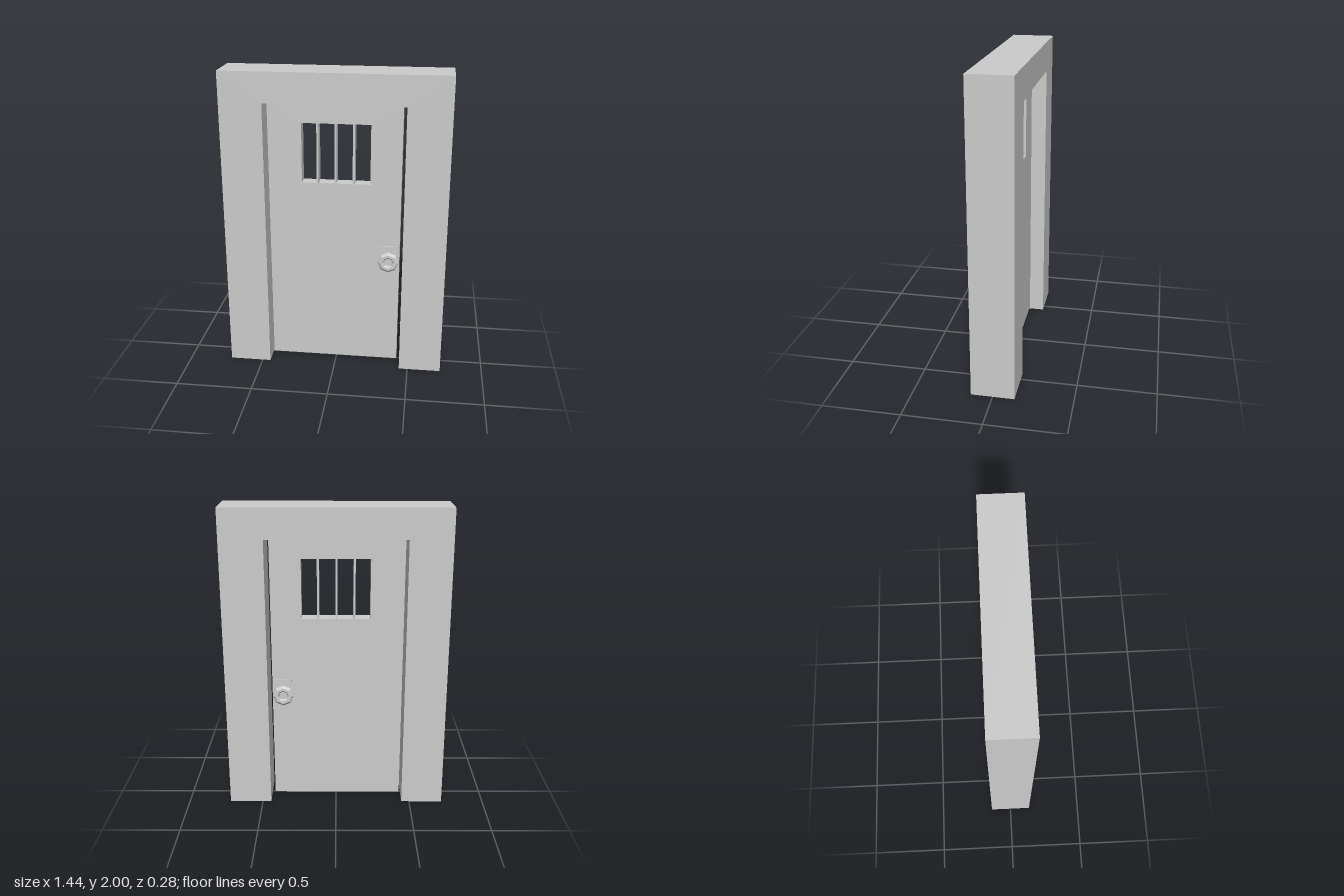
import * as THREE from 'three';

const material = new THREE.MeshStandardMaterial({ color: 0xcccccc, flatShading: true, side: THREE.DoubleSide });

function addMesh(parent, name, geometry, x = 0, y = 0, z = 0) {
  const mesh = new THREE.Mesh(geometry, material);
  mesh.name = name;
  mesh.position.set(x, y, z);
  parent.add(mesh);
  return mesh;
}

const polygon = (Type, points) => new Type(points.map(([x, y]) => new THREE.Vector2(x, y)));
const rectangle = (Type, x0, y0, x1, y1) => polygon(Type, [[x0, y0], [x1, y0], [x1, y1], [x0, y1]]);

// Extrude a shape along z, centred on z = 0
function slab(shape, depth) {
  return new THREE.ExtrudeGeometry(shape, { depth, bevelEnabled: false }).translate(0, 0, -depth / 2);
}

// Drop the triangles lying on the floor, leaving the hollow posts open below
function openBottom(geometry) {
  const p = geometry.attributes.position;
  const kept = [];
  for (let i = 0; i < p.count; i += 3) {
    if (Math.max(p.getY(i), p.getY(i + 1), p.getY(i + 2)) < 1e-4) continue;
    for (let j = i; j < i + 3; j++) kept.push(p.getX(j), p.getY(j), p.getZ(j));
  }
  const open = new THREE.BufferGeometry();
  open.setAttribute('position', new THREE.Float32BufferAttribute(kept, 3));
  open.computeVertexNormals();
  return open;
}

// Octagonal lock knob on a square plate, facing +z
function createLock(name) {
  const lock = new THREE.Group();
  lock.name = name;
  addMesh(lock, 'lockPlate', new THREE.BoxGeometry(0.113, 0.113, 0.014), 0, 0.05, 0.005);
  const profile = [[0.05, 0], [0.07, 0.012], [0.07, 0.026], [0.055, 0.038],
    [0.038, 0.038], [0.03, 0.03], [0.027, 0.02], [0, 0.02]];
  const knob = new THREE.LatheGeometry(profile.map(([r, y]) => new THREE.Vector2(r, y)), 8);
  addMesh(lock, 'lockKnob', knob.rotateX(Math.PI / 2));
  addMesh(lock, 'lockKeySlot', new THREE.BoxGeometry(0.04, 0.008, 0.008), 0, 0, 0.023);
  return lock;
}

export function createModel() {
  const model = new THREE.Group();
  model.name = 'barredDoor';

  // Thick surround with a doorway
  const frame = polygon(THREE.Shape, [[-0.72, 0], [-0.447, 0], [-0.447, 1.805], [0.443, 1.805],
    [0.443, 0], [0.72, 0], [0.72, 2], [-0.72, 2]]);
  addMesh(model, 'doorFrame', openBottom(slab(frame, 0.276)));

  // Door leaf; the flat bars are left standing between the window slots
  const door = new THREE.Group();
  door.name = 'door';
  model.add(door);
  const leaf = rectangle(THREE.Shape, -0.436, 0.02, 0.42, 1.795);
  for (const [x0, x1] of [[-0.22, -0.124], [-0.111, -0.01], [0.003, 0.107], [0.121, 0.221]]) {
    leaf.holes.push(rectangle(THREE.Path, x0, 1.277, x1, 1.667));
  }
  addMesh(door, 'doorLeaf', slab(leaf, 0.08));

  // One lock on each side of the leaf
  for (const side of [1, -1]) {
    const lock = createLock(side > 0 ? 'frontLock' : 'backLock');
    lock.position.set(0.348, 0.753, side * 0.04);
    if (side < 0) lock.rotation.y = Math.PI;
    door.add(lock);
  }
  return model;
}
